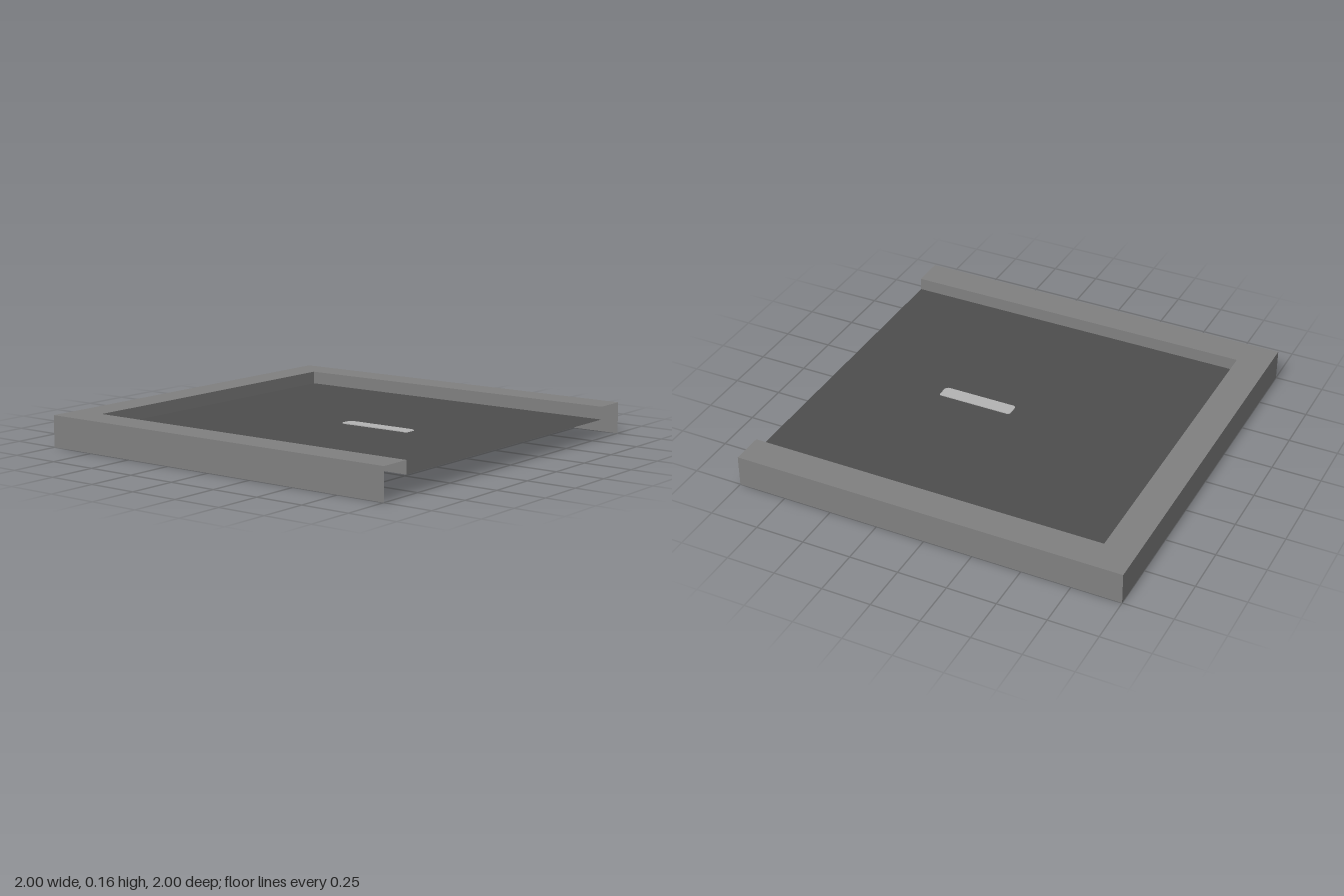
import * as THREE from 'three';

const FLOOR_Y = 0.095, TOP_Y = 0.16, INNER = 0.835;

function material(name, color, side = THREE.FrontSide) {
  const m = new THREE.MeshStandardMaterial({ color, side });
  m.name = name;
  return m;
}

// Folded sheet swept around three sides with mitred back corners, open at the front
function rimGeometry() {
  const profile = [[1, 0], [1, TOP_Y], [INNER, TOP_Y], [INNER, FLOOR_Y]];
  const path = (d) => [[-d, 1], [-d, -d], [d, -d], [d, 1]];
  const point = (i, j) => {
    const [d, y] = profile[i];
    const [x, z] = path(d)[j];
    return [x, y, z];
  };
  const positions = [];
  for (let i = 0; i < 3; i++) {
    for (let j = 0; j < 3; j++) {
      const a = point(i, j + 1), b = point(i, j), c = point(i + 1, j), d = point(i + 1, j + 1);
      positions.push(...a, ...b, ...c, ...a, ...c, ...d);
    }
  }
  const g = new THREE.BufferGeometry();
  g.setAttribute('position', new THREE.Float32BufferAttribute(positions, 3));
  g.computeVertexNormals();
  return g;
}

// Thin bar with rounded corners, lying flat
function barGeometry(width, length, radius, thickness) {
  const w = width / 2, l = length / 2, r = radius;
  const s = new THREE.Shape();
  s.absarc(w - r, l - r, r, 0, Math.PI / 2);
  s.absarc(-w + r, l - r, r, Math.PI / 2, Math.PI);
  s.absarc(-w + r, -l + r, r, Math.PI, Math.PI * 1.5);
  s.absarc(w - r, -l + r, r, Math.PI * 1.5, Math.PI * 2);
  const g = new THREE.ExtrudeGeometry(s, { depth: thickness, bevelEnabled: false, curveSegments: 4 });
  g.translate(0, 0, -thickness / 2);
  g.rotateX(-Math.PI / 2);
  // Slope the front end
  const p = g.attributes.position;
  for (let i = 0; i < p.count; i++) {
    if (p.getZ(i) > 0 && p.getY(i) > 0) p.setZ(i, p.getZ(i) - 0.015);
  }
  g.computeVertexNormals();
  return g;
}

export function createModel() {
  const group = new THREE.Group();
  const add = (name, geometry, mat) => {
    const mesh = new THREE.Mesh(geometry, mat);
    mesh.name = name;
    group.add(mesh);
    return mesh;
  };

  add('rim', rimGeometry(), material('midGrey', 0x808080, THREE.DoubleSide));

  // Sunken floor sheet, reaching the open front edge
  const floor = new THREE.PlaneGeometry(INNER * 2, 1 + INNER).rotateX(-Math.PI / 2);
  add('floor', floor, material('darkGrey', 0x4d4d4d, THREE.DoubleSide))
    .position.set(0, FLOOR_Y, (1 - INNER) / 2);

  // Bar showing on both faces of the floor
  add('bar', barGeometry(0.075, 0.405, 0.016, 0.008), material('lightGrey', 0xb3b3b3))
    .position.set(-0.007, FLOOR_Y, 0.237);

  return group;
}
